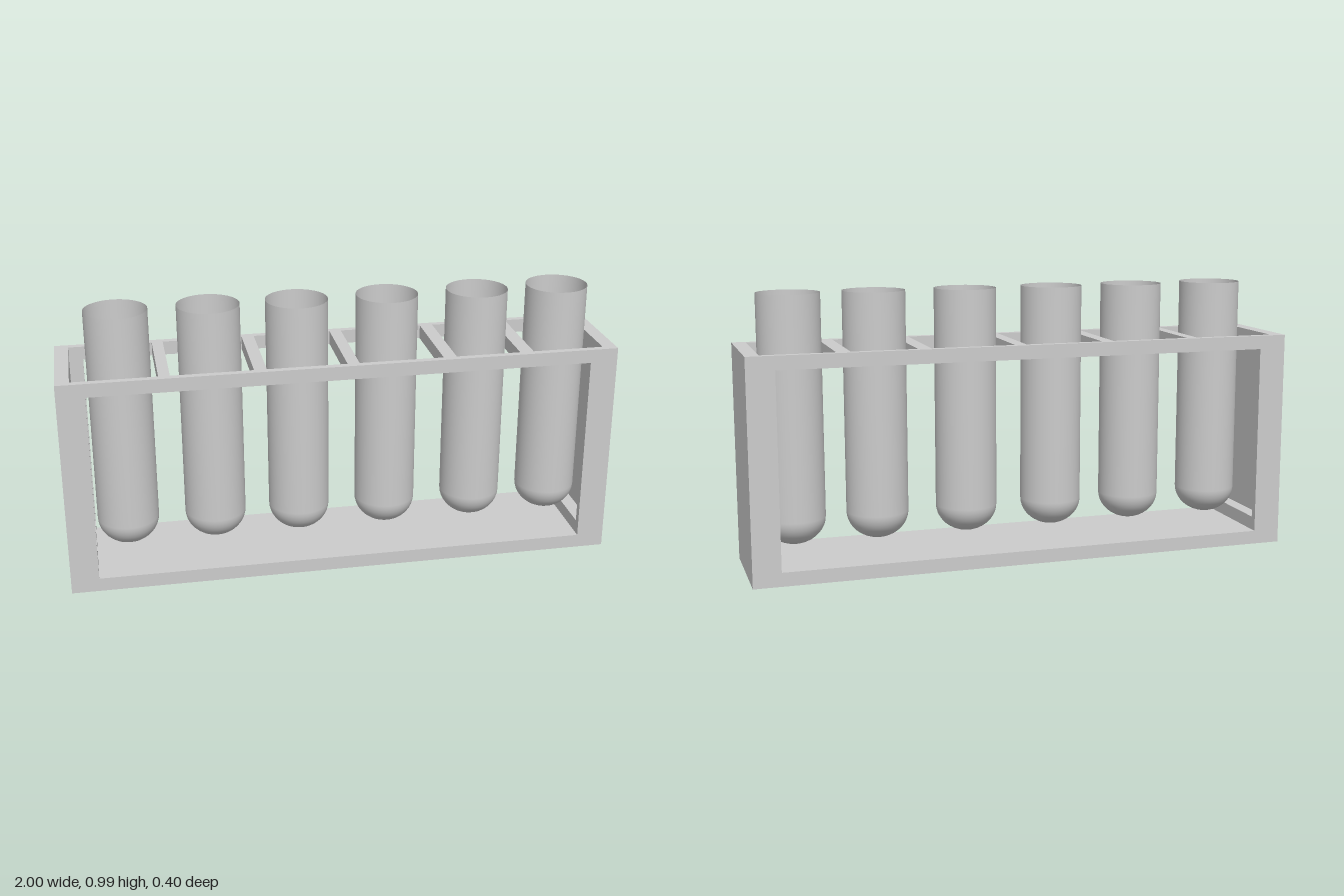
import * as THREE from 'three';

const material = new THREE.MeshStandardMaterial({ color: 0xcccccc });
const glassMaterial = new THREE.MeshStandardMaterial({ color: 0xcccccc, side: THREE.DoubleSide });

// Box given by its extents on each axis
function box(name, [x0, x1], [y0, y1], [z0, z1]) {
  const mesh = new THREE.Mesh(new THREE.BoxGeometry(x1 - x0, y1 - y0, z1 - z0), material);
  mesh.position.set((x0 + x1) / 2, (y0 + y1) / 2, (z0 + z1) / 2);
  mesh.name = name;
  return mesh;
}

// Open window frame used for the front and back of the rack
function framePanel(name, z) {
  const shape = new THREE.Shape([[-1, 0], [1, 0], [1, 0.8], [-1, 0.8]].map(p => new THREE.Vector2(...p)));
  shape.holes.push(new THREE.Path(
    [[-0.9, 0.05], [-0.9, 0.75], [0.9, 0.75], [0.9, 0.05]].map(p => new THREE.Vector2(...p))));
  const mesh = new THREE.Mesh(new THREE.ExtrudeGeometry(shape, { depth: 0.025, bevelEnabled: false }), material);
  mesh.position.z = z;
  mesh.name = name;
  return mesh;
}

function createRack() {
  const rack = new THREE.Group();
  rack.name = 'rack';
  const depth = [-0.175, 0.175];
  rack.add(framePanel('frontFrame', 0.175), framePanel('backFrame', -0.2));
  rack.add(box('floor', [-0.95, 0.95], [0, 0.05], depth));

  // End walls with a low ledge at the foot of each
  rack.add(box('leftEndWall', [0.95, 1], [0, 0.8], depth));
  rack.add(box('rightEndWall', [-1, -0.95], [0, 0.8], depth));
  rack.add(box('leftLedge', [0.9, 0.95], [0.05, 0.1], depth));
  rack.add(box('rightLedge', [-0.95, -0.9], [0.05, 0.1], depth));

  // Cross bars between the tube slots
  const bars = [[-0.65, -0.61], [-0.32, -0.275], [0.01, 0.053], [0.357, 0.405], [0.64, 0.69]];
  bars.forEach((span, i) => rack.add(box(`crossBar${i + 1}`, span, [0.75, 0.8], depth)));
  return rack;
}

// Thin open tubes with rounded bottoms
function createTubes() {
  const tubes = new THREE.Group();
  tubes.name = 'testTubes';
  const radius = 0.112, bottom = 0.097, shoulder = 0.195;
  const profile = [];
  for (let i = 0; i <= 10; i++) {
    const a = (i / 10) * Math.PI / 2;
    profile.push(new THREE.Vector2(radius * Math.sin(a), shoulder - (shoulder - bottom) * Math.cos(a)));
  }
  profile.push(new THREE.Vector2(radius, 0.6), new THREE.Vector2(radius, 0.992));
  const geometry = new THREE.LatheGeometry(profile, 48);
  [-0.778, -0.456, -0.141, 0.187, 0.521, 0.823].forEach((x, i) => {
    const tube = new THREE.Mesh(geometry, glassMaterial);
    tube.position.x = x;
    tube.name = `testTube${i + 1}`;
    tubes.add(tube);
  });
  return tubes;
}

export function createModel() {
  const model = new THREE.Group();
  model.name = 'testTubeRack';
  model.add(createRack(), createTubes());
  return model;
}
